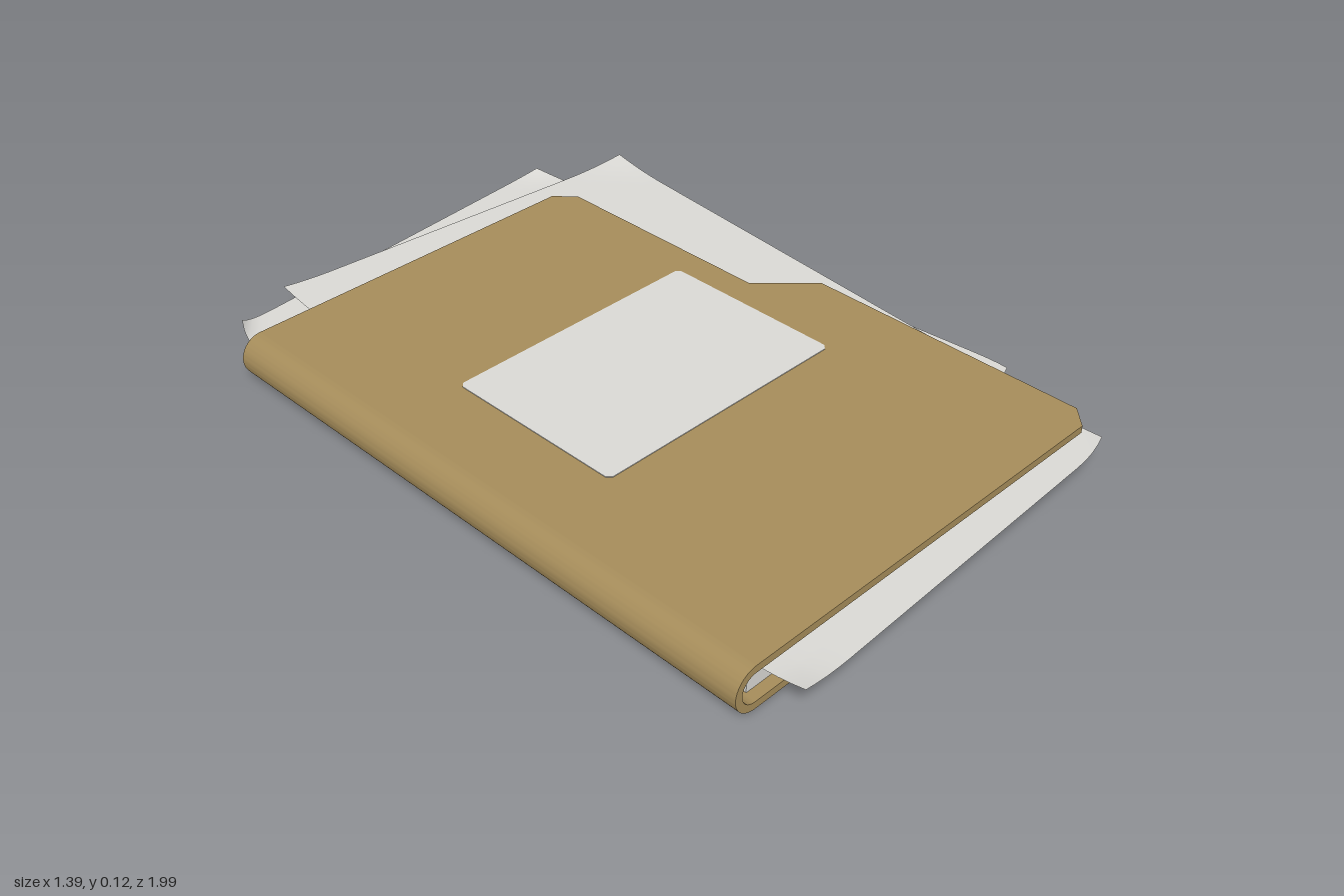
import * as THREE from 'three';
import { toCreasedNormals } from 'three/addons/utils/BufferGeometryUtils.js';

const card = new THREE.MeshStandardMaterial({ color: 0xa58c5a });
card.name = 'manila card';
const paper = new THREE.MeshStandardMaterial({ color: 0xd9d8d4, side: THREE.DoubleSide });
paper.name = 'paper';

const BACK = -0.8, FRONT = 0.9, SPINE_X = -0.635, THICK = 0.02;

function part(name, geometry, material) {
  const mesh = new THREE.Mesh(geometry, material);
  mesh.name = name;
  return mesh;
}

// Flat plate from an [x, z] outline, resting on height y
function plate(outline, thickness, y) {
  const shape = new THREE.Shape(outline.map(([x, z]) => new THREE.Vector2(x, -z)));
  return new THREE.ExtrudeGeometry(shape, { depth: thickness, bevelEnabled: false })
    .rotateX(-Math.PI / 2).translate(0, y, 0);
}

// Loose sheet whose corners may curl up; curls are [xSign, zSign, reach, lift, pull]
function sheet(name, width, length, position, turn, curls) {
  const geo = new THREE.PlaneGeometry(width, length, 32, 44).rotateX(-Math.PI / 2);
  const p = geo.attributes.position;
  for (let i = 0; i < p.count; i++) {
    const x = p.getX(i), z = p.getZ(i);
    for (const [sx, sz, reach, lift, pull] of curls) {
      const s = (width / 2 - sx * x) + (length / 2 - sz * z);
      if (s >= reach) continue;
      const t = (1 - s / reach) ** 2;
      p.setXYZ(i, x - sx * pull * t, lift * t, z - sz * pull * t);
    }
  }
  geo.computeVertexNormals();
  const mesh = part(name, geo, paper);
  mesh.position.set(...position);
  mesh.rotation.y = turn;
  return mesh;
}

export function createModel() {
  const model = new THREE.Group();
  model.name = 'paperFolder';

  // Covers: full back, and a front with a stepped tab cut
  const bottom = [[SPINE_X, BACK], [0.495, BACK], [0.545, BACK + 0.05],
    [0.545, FRONT - 0.05], [0.495, FRONT], [SPINE_X, FRONT]];
  const top = [[SPINE_X, BACK], [0.36, BACK], [0.41, BACK + 0.055], [0.41, -0.085],
    [0.545, 0.05], [0.545, FRONT - 0.05], [0.495, FRONT], [SPINE_X, FRONT]];
  model.add(part('bottomCover', plate(bottom, THICK, 0), card));
  model.add(part('topCover', plate(top, THICK, 0.1), card));

  // Rounded spine
  const arc = new THREE.Shape();
  arc.absarc(SPINE_X, 0.06, 0.06, Math.PI / 2, Math.PI * 1.5, false);
  arc.absarc(SPINE_X, 0.06, 0.04, Math.PI * 1.5, Math.PI / 2, true);
  const spine = new THREE.ExtrudeGeometry(arc,
    { depth: FRONT - BACK, bevelEnabled: false, curveSegments: 16 }).translate(0, 0, BACK);
  model.add(part('spine', toCreasedNormals(spine, 0.6), card));

  // Label with tiny clipped corners
  const [l, r, b, f, c] = [-0.43, 0.325, -0.262, 0.262, 0.012];
  model.add(part('label', plate([[l + c, b], [r - c, b], [r, b + c], [r, f - c],
    [r - c, f], [l + c, f], [l, f - c], [l, b + c]], 0.002, 0.12), paper));

  // Neat stack inside
  const stack = part('paperStack', new THREE.BoxGeometry(1.15, 0.052, 1.62), paper);
  stack.position.set(-0.055, 0.046, 0.06);
  model.add(stack);

  // Loose sheets sticking out
  model.add(sheet('lowerSheet', 1.14, 1.62, [-0.0625, 0.081, 0.167], 0.04,
    [[1, 1, 0.14, 0.012, 0.015], [-1, 1, 0.14, 0.016, 0]]));
  model.add(sheet('middleSheet', 1.155, 1.63, [-0.025, 0.085, -0.14], 0.0865,
    [[-1, -1, 0.14, 0.039, 0.03], [1, -1, 0.14, 0.014, 0.015], [1, 1, 0.12, 0.006, 0.015]]));
  model.add(sheet('upperSheet', 1.144, 1.626, [0.0525, 0.089, -0.11], -0.0875,
    [[1, -1, 0.2, 0.014, 0], [-1, -1, 0.15, 0.008, 0]]));
  return model;
}
